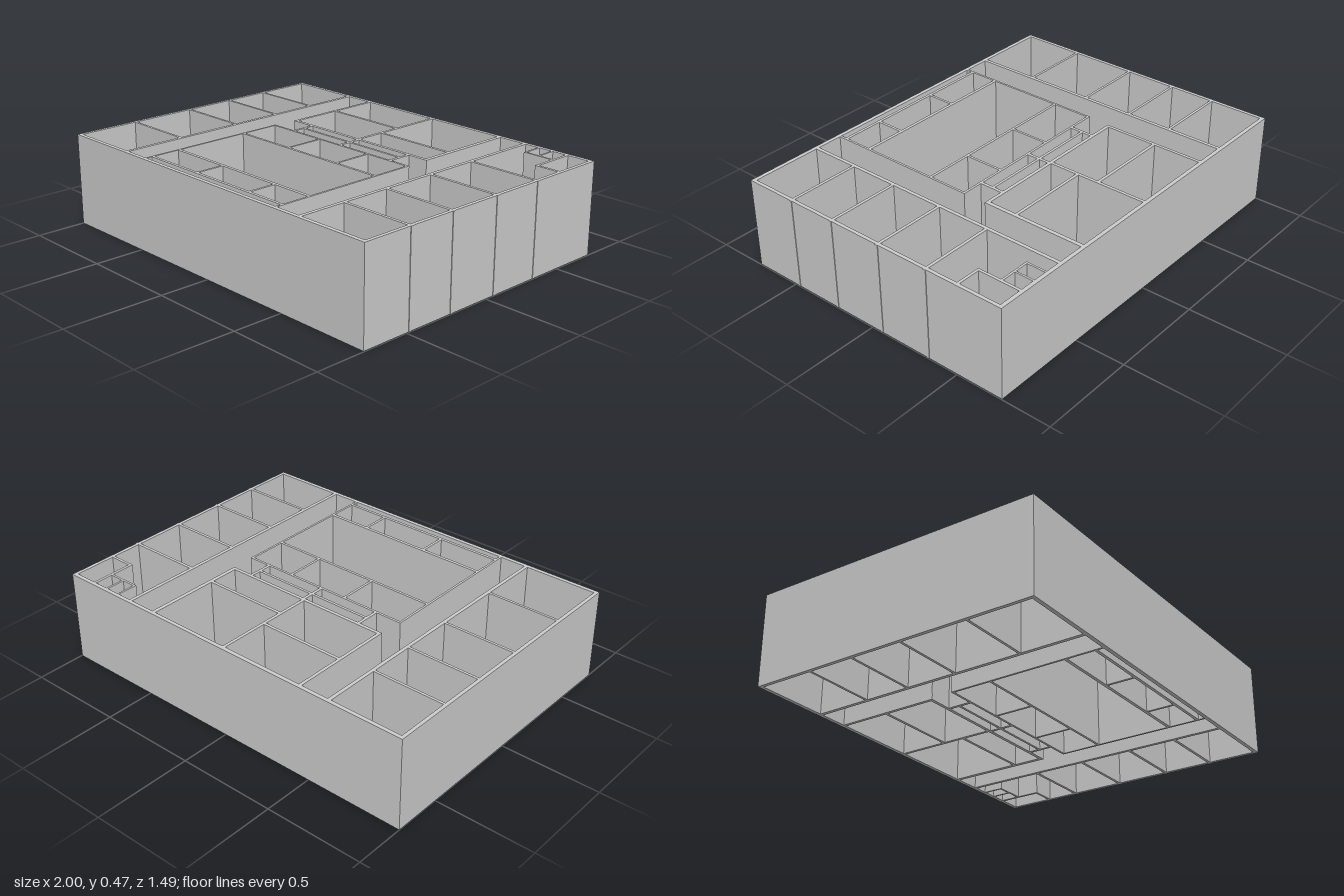
import * as THREE from 'three';

const HEIGHT = 0.465;

export function createModel() {
  const model = new THREE.Group();
  model.name = 'floorPlanWalls';
  const material = new THREE.MeshStandardMaterial({ color: 0xcccccc, flatShading: true });

  const section = (name) => {
    const group = new THREE.Group();
    group.name = name;
    model.add(group);
    return group;
  };

  // Full-height wall filling the rectangle x0..x1, z0..z1
  const wall = (group, name, x0, x1, z0, z1) => {
    const mesh = new THREE.Mesh(new THREE.BoxGeometry(x1 - x0, HEIGHT, z1 - z0), material);
    mesh.position.set((x0 + x1) / 2, HEIGHT / 2, (z0 + z1) / 2);
    mesh.name = name;
    group.add(mesh);
  };
  // Wall running along x at a given z, and along z at a given x
  const across = (group, name, z, x0, x1, t = 0.013) => wall(group, name, x0, x1, z - t / 2, z + t / 2);
  const along = (group, name, x, z0, z1, t = 0.013) => wall(group, name, x - t / 2, x + t / 2, z0, z1);

  // Outer shell
  const shell = section('outerWalls');
  across(shell, 'backWall', -0.736, -1, 0.997, 0.02);
  across(shell, 'frontWall', 0.735, -1, 0.997, 0.02);
  along(shell, 'rightWall', -0.991, -0.745, 0.745, 0.018);
  along(shell, 'leftWall', 0.988, -0.745, 0.745, 0.018);

  // Side wings: corridor wall and room partitions
  const rightWing = section('rightWing');
  along(rightWing, 'corridorWall', -0.605, -0.73, 0.73, 0.018);
  for (const z of [-0.444, -0.205, 0.062, 0.408]) across(rightWing, 'partition', z, -0.985, -0.6);

  const leftWing = section('leftWing');
  along(leftWing, 'corridorWall', 0.606, -0.73, 0.73, 0.018);
  for (const z of [-0.333, -0.057, 0.224, 0.478]) across(leftWing, 'partition', z, 0.606, 1, 0.015);

  // Small closets in the back left corner
  const closets = section('cornerClosets');
  along(closets, 'closetSide', 0.693, -0.73, -0.619, 0.01);
  along(closets, 'closetDivider', 0.771, -0.73, -0.624, 0.01);
  along(closets, 'closetSide', 0.856, -0.73, -0.497, 0.014);
  across(closets, 'closetFront', -0.624, 0.688, 0.856, 0.011);
  across(closets, 'closetFront', -0.503, 0.856, 0.985, 0.014);

  // Four rooms at the back
  const back = section('backRooms');
  along(back, 'sideWall', -0.444, -0.73, -0.192, 0.016);
  along(back, 'middleWall', 0.003, -0.73, -0.2, 0.016);
  along(back, 'sideWall', 0.45, -0.73, -0.192, 0.02);
  across(back, 'frontWall', -0.2, -0.45, 0.458, 0.017);
  across(back, 'partition', -0.472, -0.444, 0.003, 0.015);
  across(back, 'partition', -0.36, 0.003, 0.45, 0.015);

  // Narrow service cells in the middle
  const service = section('serviceCells');
  for (const x of [-0.319, 0.01, 0.343]) along(service, 'cellWall', x, -0.2, -0.07, 0.015);
  across(service, 'cellPartition', -0.137, -0.319, 0.343, 0.013);

  // Central hall with small rooms at both ends
  const hall = section('centralHall');
  for (const x of [-0.457, 0.457]) along(hall, 'sideWall', x, -0.074, 0.73, 0.011);
  for (const [z, t] of [[-0.068, 0.012], [0.139, 0.013], [0.535, 0.016], [0.688, 0.015]]) {
    across(hall, 'crossWall', z, -0.457, 0.457, t);
  }
  for (const x of [-0.126, 0.203]) along(hall, 'backDivider', x, -0.068, 0.139, 0.012);
  for (const x of [-0.126, 0.235]) along(hall, 'frontDivider', x, 0.535, 0.688, 0.013);

  return model;
}
